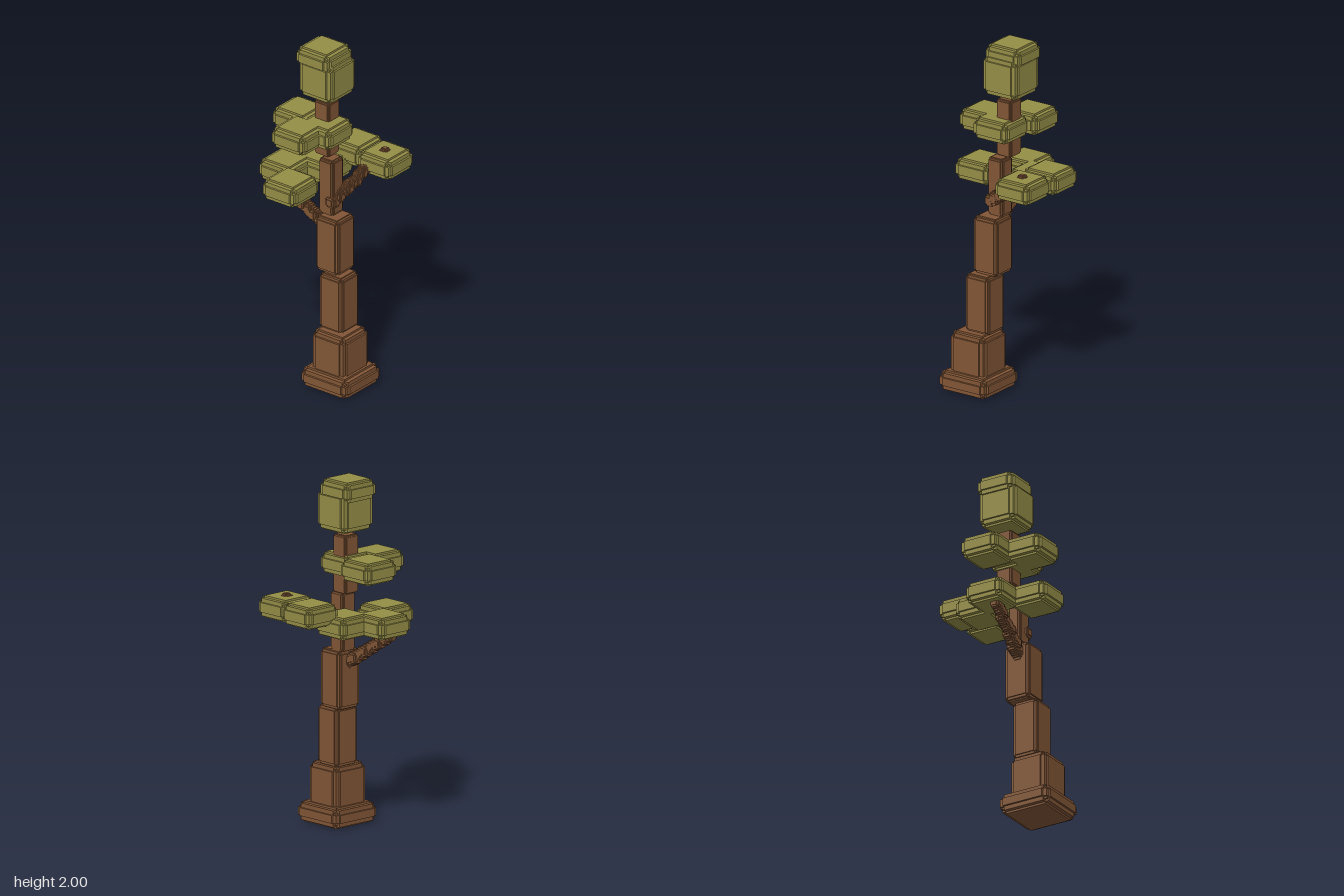
import * as THREE from 'three';
import { mergeGeometries } from 'three/addons/utils/BufferGeometryUtils.js';

const bark = new THREE.MeshStandardMaterial({ color: 0x825636 });
bark.name = 'bark brown';
const foliage = new THREE.MeshStandardMaterial({ color: 0x958e47 });
foliage.name = 'leaf green';

// Insets, in steps, of the overlapping boxes that make a stair-stepped rounded block
const INSETS = [
  [0, 3, 3], [3, 0, 3], [3, 3, 0],
  [1, 1, 3], [1, 3, 1], [3, 1, 1],
  [2, 2, 1.5],
];

// Block between two corners with stepped edges
function steppedBlock([x0, x1], [y0, y1], [z0, z1], step) {
  const size = [x1 - x0, y1 - y0, z1 - z0];
  const boxes = INSETS.map((inset) =>
    new THREE.BoxGeometry(...size.map((s, i) => s - 2 * step * inset[i])));
  return mergeGeometries(boxes).translate((x0 + x1) / 2, (y0 + y1) / 2, (z0 + z1) / 2);
}

// Branch as a chain of small stepped blocks snapped to a grid
function branchGeometry(from, to, r0, r1) {
  const a = new THREE.Vector3(...from);
  const b = new THREE.Vector3(...to);
  const count = Math.round(a.distanceTo(b) / 0.022);
  const snap = (v) => Math.round(v / 0.012) * 0.012;
  const parts = [];
  for (let i = 0; i <= count; i++) {
    const t = i / count;
    const r = r0 + (r1 - r0) * t;
    const p = a.clone().lerp(b, t);
    const range = (v) => [snap(v) - r, snap(v) + r];
    parts.push(steppedBlock(range(p.x), range(p.y), range(p.z), r * 0.17));
  }
  return mergeGeometries(parts);
}

export function createModel() {
  const model = new THREE.Group();
  model.name = 'tree';

  const add = (parent, name, geometry, material) => {
    const mesh = new THREE.Mesh(geometry, material);
    mesh.name = name;
    parent.add(mesh);
  };
  const group = (name) => {
    const g = new THREE.Group();
    g.name = name;
    model.add(g);
    return g;
  };

  // Leaning trunk: root block and stacked segments (x, y, z ranges, edge step)
  const trunk = group('trunk');
  [
    ['rootBlock', [0.013, 0.345], [0, 0.118], [-0.055, 0.272], 0.012],
    ['trunkSegment1', [0.06, 0.295], [0.085, 0.347], [-0.01, 0.228], 0.011],
    ['trunkSegment2', [0.07, 0.232], [0.335, 0.678], [0.004, 0.167], 0.007],
    ['trunkSegment3', [0.024, 0.186], [0.672, 1.01], [-0.02, 0.143], 0.007],
    ['trunkSegment4', [0.012, 0.114], [1.005, 1.345], [-0.008, 0.095], 0.005],
    ['trunkSegment5', [-0.038, 0.066], [1.347, 1.68], [-0.031, 0.071], 0.004],
  ].forEach(([name, x, y, z, step]) => add(trunk, name, steppedBlock(x, y, z, step), bark));

  // Two side branches
  const branches = group('branches');
  add(branches, 'rightBranch',
    branchGeometry([0.05, 0.93, 0.07], [-0.25, 1.125, 0.11], 0.036, 0.028), bark);
  add(branches, 'leftBranch',
    branchGeometry([0.09, 1.09, 0.07], [0.225, 1.322, -0.23], 0.036, 0.025), bark);

  // Leaf pads: each tier shares a height range; pads give x and z ranges
  const tiers = [
    ['lowerLeaves', [1.135, 1.26], [
      [[-0.347, -0.11], [-0.048, 0.19]],
      [[-0.18, 0.058], [0.13, 0.37]],
      [[-0.205, 0.036], [-0.205, 0.034]],
    ]],
    ['backLeaves', [1.206, 1.33], [
      [[-0.108, 0.123], [-0.372, -0.134]],
      [[0.112, 0.347], [-0.348, -0.11]],
    ]],
    ['middleLeaves', [1.445, 1.57], [
      [[-0.3, -0.062], [-0.108, 0.13]],
      [[-0.082, 0.153], [-0.06, 0.178]],
      [[-0.155, 0.083], [0.083, 0.321]],
    ]],
    ['crownBody', [1.707, 1.945], [[[-0.11, 0.127], [-0.108, 0.13]]]],
    ['crownCap', [1.88, 2], [[[-0.132, 0.105], [-0.108, 0.13]]]],
  ];
  for (const [name, y, pads] of tiers) {
    const tier = group(name);
    pads.forEach(([x, z], i) =>
      add(tier, `leafPad${i + 1}`, steppedBlock(x, y, z, 0.0115), foliage));
  }

  return model;
}
